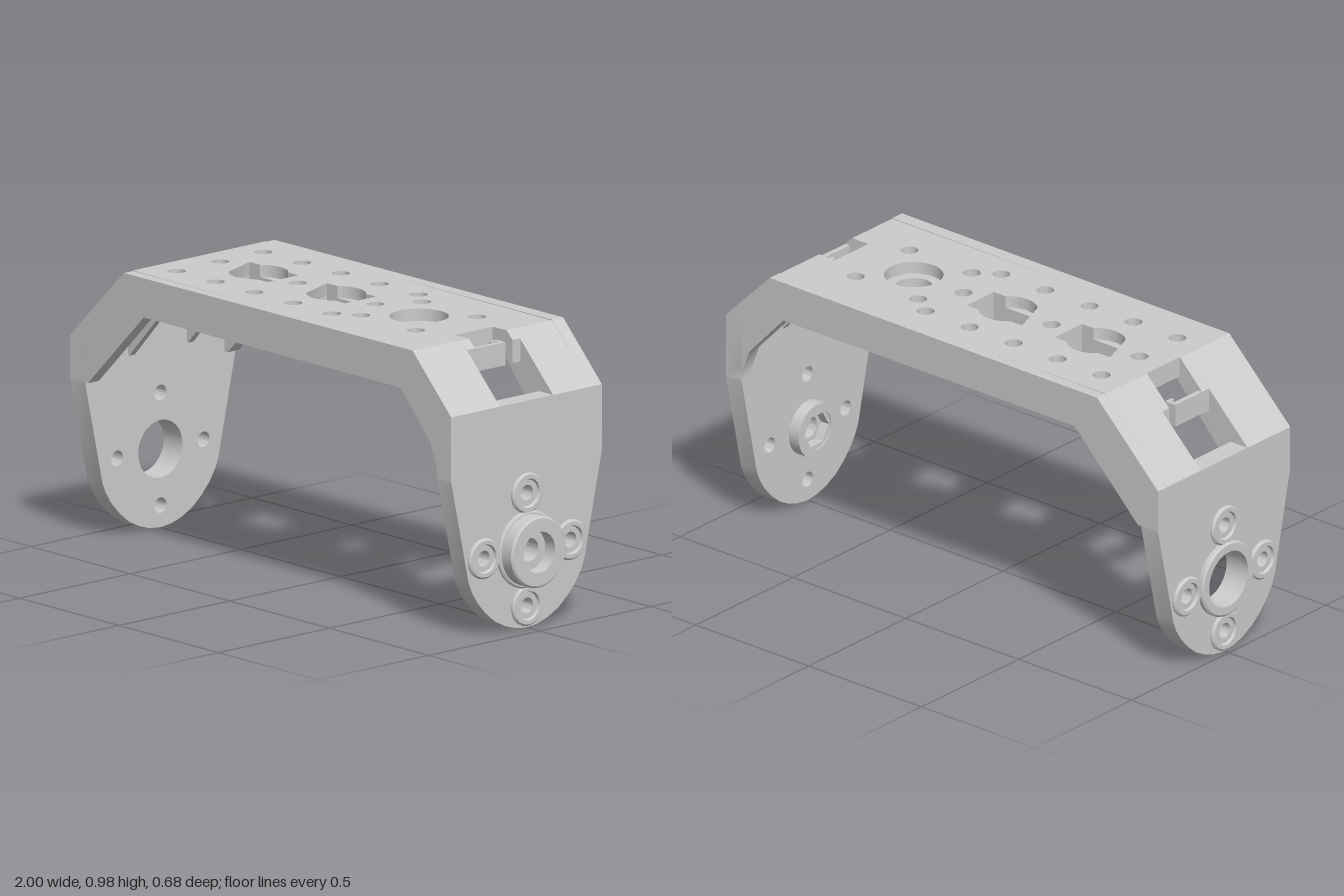
import * as THREE from 'three';
import { toCreasedNormals } from 'three/addons/utils/BufferGeometryUtils.js';

const material = new THREE.MeshStandardMaterial({ color: 0xcccccc });
const V = (p) => p.map(([x, y]) => new THREE.Vector2(x, y));
const poly = (p) => new THREE.Shape(V(p));
const circle = (x, y, r) => new THREE.Path().absarc(x, y, r, 0, Math.PI * 2, true);
const rect = (x, y, w, h) => new THREE.Path(V([[x - w, y - h], [x - w, y + h], [x + w, y + h], [x + w, y - h]]));
const hexPoints = (x, y, r) => Array.from({ length: 6 }, (_, i) =>
  [x + r * Math.cos(i * Math.PI / 3), y + r * Math.sin(i * Math.PI / 3)]);

export function createModel() {
  const group = new THREE.Group();
  const add = (name, geometry) => {
    const mesh = new THREE.Mesh(toCreasedNormals(geometry, 0.5), material);
    mesh.name = name;
    group.add(mesh);
    return mesh;
  };
  const extrude = (shape, depth) =>
    new THREE.ExtrudeGeometry(shape, { depth, bevelEnabled: false, curveSegments: 20 });
  // Slabs stacked along each axis
  const slabX = (name, shape, x0, x1) => add(name, extrude(shape, x1 - x0).rotateY(Math.PI / 2).translate(x0, 0, 0));
  const slabY = (name, shape, y0, y1) => add(name, extrude(shape, y1 - y0).rotateX(-Math.PI / 2).translate(0, y0, 0));
  const slabZ = (name, shape, z0, z1) => add(name, extrude(shape, z1 - z0).translate(0, 0, z0));
  const bothSides = (name, shape, z0, z1) => {
    slabZ(name, shape, z0, z1);
    slabZ(name, shape, -z1, -z0);
  };
  // Turned part on an x axis; profile is [radius, distance outward]
  const turned = (name, profile, side, x, y, z) =>
    add(name, new THREE.LatheGeometry(V(profile), 40).rotateZ(-side * Math.PI / 2).translate(x, y, z));

  // Side rims following the whole bent profile
  bothSides('rim', poly([
    [-0.98, 0.56], [-0.98, 0.71], [-0.71, 0.975], [0.74, 0.98], [0.935, 0.785], [0.935, 0.56],
    [0.865, 0.56], [0.865, 0.59], [0.83, 0.68], [0.68, 0.84], [-0.61, 0.84], [-0.89, 0.56],
  ].reverse()), 0.29, 0.34);

  // Deck: hole positions
  const holes = [];
  [-0.605, -0.41, -0.215, -0.02, 0.175].forEach((x, i) => {
    holes.push([x, 0.195], [x, -0.195]);
    if (i % 2 === 0) holes.push([x, 0]);
  });
  for (const sx of [-1, 1]) for (const sz of [-1, 1]) holes.push([0.395 + sx * 0.138, sz * 0.138]);
  const windows = [-0.412, -0.022];

  const deckShape = (upper) => {
    const s = poly([[-0.71, -0.3], [0.74, -0.3], [0.74, -0.085], [0.67, -0.085],
      [0.67, 0.085], [0.74, 0.085], [0.74, 0.3], [-0.71, 0.3]]);
    holes.forEach(([x, z]) => s.holes.push(circle(x, z, 0.03)));
    s.holes.push(circle(0.395, 0, upper ? 0.1 : 0.063));
    windows.forEach((x) => {
      if (!upper) { s.holes.push(rect(x, 0, 0.123, 0.07)); return; }
      // rectangle with a round recess bulging from both long sides
      const a = Math.asin(0.7);
      const p = new THREE.Path();
      p.moveTo(x - 0.123, -0.07);
      p.absarc(x, 0, 0.1, Math.PI + a, 2 * Math.PI - a, false);
      p.lineTo(x + 0.123, -0.07);
      p.lineTo(x + 0.123, 0.07);
      p.absarc(x, 0, 0.1, a, Math.PI - a, false);
      p.lineTo(x - 0.123, 0.07);
      s.holes.push(p);
    });
    return s;
  };
  slabY('deckTop', deckShape(true), 0.935, 0.977);
  slabY('deckBottom', deckShape(false), 0.905, 0.935);

  // Nut pockets, window frames and ring under the deck
  holes.forEach(([x, z]) => {
    const s = poly(hexPoints(x, z, 0.066));
    s.holes.push(new THREE.Path(V(hexPoints(x, z, 0.046).reverse())));
    slabY('nutPocket', s, 0.865, 0.905);
  });
  windows.forEach((x) => {
    const s = poly([[x - 0.14, -0.088], [x + 0.14, -0.088], [x + 0.14, 0.088], [x - 0.14, 0.088]]);
    s.holes.push(rect(x, 0, 0.123, 0.07));
    slabY('windowFrame', s, 0.875, 0.905);
  });
  const ring = new THREE.Shape().absarc(0.395, 0, 0.12, 0, Math.PI * 2, false);
  ring.holes.push(circle(0.395, 0, 0.063));
  slabY('bearingRing', ring, 0.88, 0.905);

  // Sloped corners with an opening, its stiffening ribs, ledges and cable hook
  const corners = [
    { s: -1, skin: [[-0.98, 0.71], [-0.71, 0.976], [-0.68, 0.905], [-0.905, 0.68]],
      rib: [[-0.95, 0.68], [-0.71, 0.92], [-0.66, 0.88], [-0.9, 0.62]],
      ledge: [[-0.81, 0.877], [-0.71, 0.976], [-0.69, 0.905], [-0.81, 0.8]], x: -0.81, y: 0.8 },
    { s: 1, skin: [[0.935, 0.785], [0.74, 0.978], [0.7, 0.905], [0.865, 0.74]],
      rib: [[0.9, 0.75], [0.74, 0.92], [0.69, 0.88], [0.85, 0.69]],
      ledge: [[0.77, 0.95], [0.74, 0.978], [0.67, 0.977], [0.67, 0.905], [0.77, 0.87]], x: 0.77, y: 0.87 },
  ];
  corners.forEach(({ s, skin, rib, ledge, x, y }) => {
    bothSides('cornerSkin', poly(skin), 0.12, 0.3);
    bothSides('cornerRib', poly(rib), 0.12, 0.145);
    bothSides('cornerLedge', poly(ledge), 0.085, 0.122);
    const box = (w, d, dx, z) => add('cableHook',
      new THREE.BoxGeometry(w, 0.08, d).translate(x - s * dx, y + 0.038, z));
    box(0.018, 0.165, 0.009, 0.036);
    box(0.045, 0.016, 0.022, -0.045);
    box(0.012, 0.03, 0.04, -0.036);
  });

  // Arms: tapered plates with a rounded foot
  const half = [[0.34, 0.56], [0.262, 0.2], [0.247, 0.162], [0.222, 0.122], [0.185, 0.08],
    [0.143, 0.045], [0.095, 0.02], [0.05, 0.006]];
  const boltCircle = [[0, 0.195], [0, -0.195], [0.195, 0], [-0.195, 0]];
  const armShape = (top, bore) => {
    const s = poly([[0.34, top], ...half, [0, 0], ...half.map(([z, y]) => [-z, y]).reverse(), [-0.34, top]].reverse());
    s.holes.push(circle(0, 0.272, bore));
    boltCircle.forEach(([z, y]) => s.holes.push(circle(z, 0.272 + y, 0.027)));
    return s;
  };
  slabX('rightArm', armShape(0.71, 0.1), -0.98, -0.905);
  slabX('leftArm', armShape(0.785, 0.09), 0.865, 0.935);

  // Raised collars around the bolt holes
  for (const [s, x] of [[-1, -0.98], [1, 0.935]])
    boltCircle.forEach(([z, y]) => turned('boltCollar',
      [[0.027, 0.002], [0.046, 0.002], [0.05, 0.012], [0.064, 0.012], [0.07, 0.006], [0.07, 0],
        [0.027, 0], [0.027, 0.002]].reverse(), s, x, 0.272 + y, z));

  // Open bearing collar on one arm, hollow pivot on the other
  turned('bearingCollar', [[0.1, 0], [0.134, 0], [0.134, 0.014], [0.127, 0.02], [0.1, 0.02], [0.1, 0]],
    -1, -0.98, 0.272, 0);
  turned('pivotCollar', [[0.09, 0], [0.134, 0], [0.134, 0.008], [0.128, 0.013], [0.09, 0.013], [0.09, 0]],
    1, 0.935, 0.272, 0);
  turned('pivot', [[0.07, 0.82], [0.097, 0.82], [0.097, 0.9], [0.123, 0.93], [0.123, 0.994], [0.117, 1],
    [0.071, 1], [0.071, 0.95], [0.04, 0.95], [0.04, 0.86], [0.07, 0.86], [0.07, 0.82]], 1, 0, 0.272, 0);

  // Hexagonal nut seat inside the pivot
  const seat = new THREE.Shape().absarc(0, 0.272, 0.072, 0, Math.PI * 2, false);
  seat.holes.push(new THREE.Path(V(hexPoints(0, 0.272, 0.062).reverse())));
  slabX('nutSeat', seat, 0.825, 0.86);
  return group;
}
